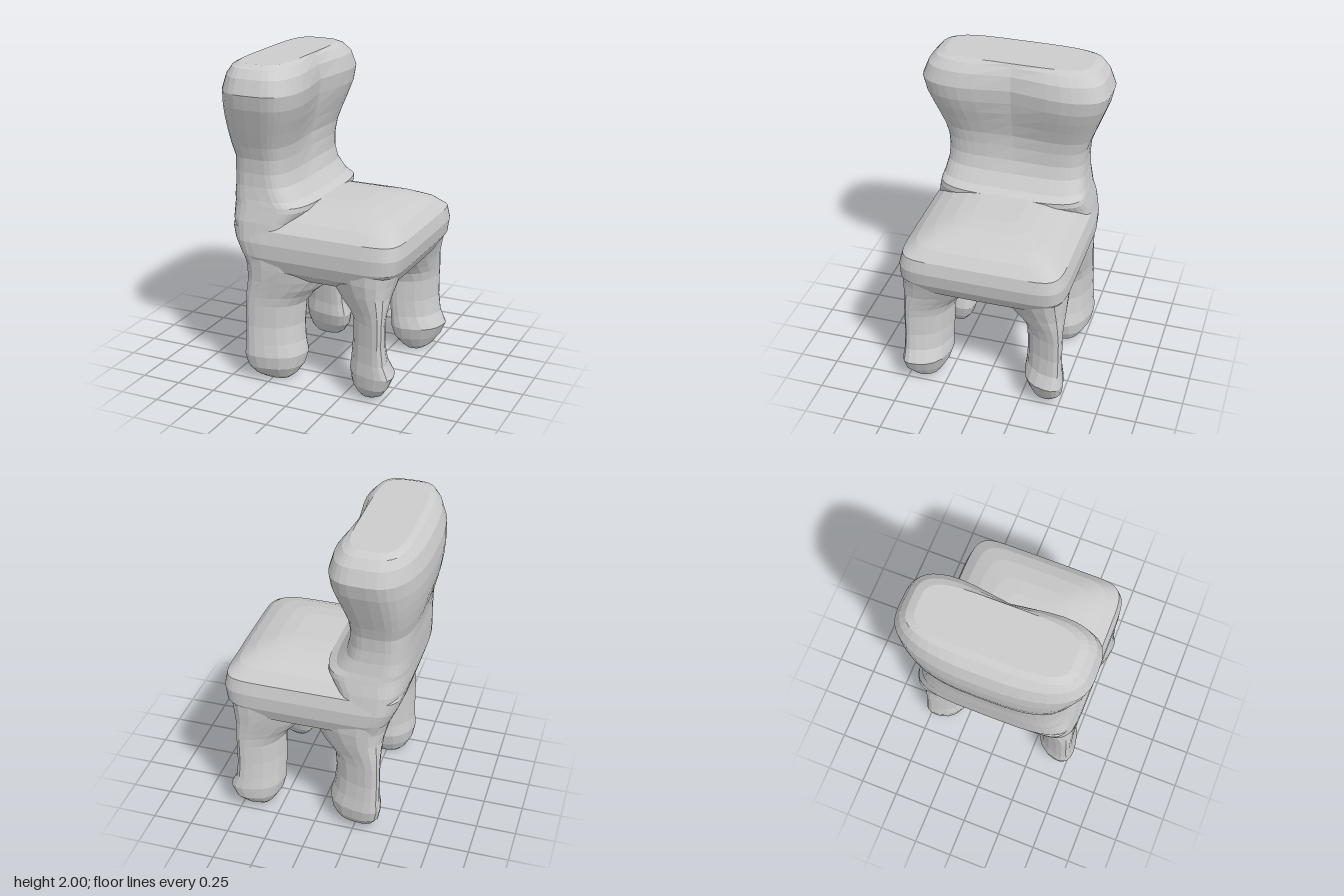
import * as THREE from 'three';

const material = new THREE.MeshStandardMaterial({ color: 0xcccccc, flatShading: true });

// Rounded power keeps the sign, so it turns circles into soft rectangles.
const soften = (v, n) => Math.sign(v) * Math.pow(Math.abs(v), 2 / n);

// Skins horizontal rings, listed bottom to top, and closes both ends.
// Ring: y, x range, z range, squareness of the +x and -x halves, diagonal skew, dent in the +x side.
function loft(name, rings, segments) {
  const positions = [];
  const index = [];
  for (const { y, x, z, n, nBack = n, skew = 0, dent = 0 } of rings) {
    const cx = (x[0] + x[1]) / 2, hx = (x[1] - x[0]) / 2;
    const cz = (z[0] + z[1]) / 2, hz = (z[1] - z[0]) / 2;
    for (let j = 0; j < segments; j++) {
      const t = (j / segments) * Math.PI * 2;
      const c = Math.cos(t - skew), power = c > 0 ? n : nBack;
      const pz = cz + hz * soften(Math.sin(t + skew), power);
      let px = cx + hx * soften(c, power);
      if (px > cx) px -= dent * Math.exp(-((pz / 0.22) ** 2));
      positions.push(px, y, pz);
    }
  }
  for (let i = 0; i < rings.length - 1; i++) {
    for (let j = 0; j < segments; j++) {
      const a = i * segments + j, b = i * segments + (j + 1) % segments;
      const c = a + segments, d = b + segments;
      index.push(a, c, b, b, c, d);
    }
  }
  const top = (rings.length - 1) * segments;
  const centre = rings.length * segments;
  for (const r of [rings[0], rings[rings.length - 1]]) {
    positions.push((r.x[0] + r.x[1]) / 2, r.y, (r.z[0] + r.z[1]) / 2);
  }
  for (let j = 0; j < segments; j++) {
    const k = (j + 1) % segments;
    index.push(centre, j, k, centre + 1, top + k, top + j);
  }
  const geometry = new THREE.BufferGeometry();
  geometry.setAttribute('position', new THREE.Float32BufferAttribute(positions, 3));
  geometry.setIndex(index);
  geometry.computeVertexNormals();
  const mesh = new THREE.Mesh(geometry, material);
  mesh.name = name;
  return mesh;
}

// Cushioned seat with a bowl-shaped underside: y, back x, front x, half depth, squareness.
function createSeat() {
  const profile = [
    [0.615, -0.04, 0.2, 0.16, 2.5], [0.635, -0.16, 0.32, 0.28, 3], [0.68, -0.32, 0.45, 0.41, 4],
    [0.75, -0.42, 0.545, 0.5, 6], [0.83, -0.46, 0.59, 0.528, 8], [0.92, -0.5, 0.605, 0.528, 8],
    [1.0, -0.52, 0.588, 0.505, 9], [1.06, -0.52, 0.53, 0.435, 8], [1.1, -0.51, 0.45, 0.35, 7],
    [1.13, -0.5, 0.34, 0.25, 6], [1.143, -0.48, 0.24, 0.15, 6],
  ];
  return loft('seat', profile.map(([y, x0, x1, h, n]) => ({ y, x: [x0, x1], z: [-h, h], n })), 48);
}

// Backrest with a narrow waist, a swollen top roll and a flare into the seat.
// y, back x, front x, half depth, squareness of the rear corners, dent in the front.
function createBackrest() {
  const profile = [
    [0.75, -0.43, -0.16, 0.5, 4, 0], [0.84, -0.465, -0.14, 0.52, 4, 0], [0.92, -0.505, -0.12, 0.522, 4, 0],
    [1.04, -0.54, -0.08, 0.5, 4, 0], [1.11, -0.545, -0.03, 0.48, 4, 0], [1.14, -0.545, -0.03, 0.472, 4, 0],
    [1.17, -0.547, -0.08, 0.463, 4, 0], [1.25, -0.55, -0.14, 0.448, 3.5, 0], [1.33, -0.55, -0.16, 0.443, 3.5, 0.01],
    [1.42, -0.56, -0.16, 0.45, 3, 0.02], [1.5, -0.58, -0.15, 0.475, 3, 0.03], [1.59, -0.6, -0.12, 0.51, 2.8, 0.04],
    [1.67, -0.612, -0.09, 0.54, 2.7, 0.05], [1.75, -0.618, -0.065, 0.57, 2.6, 0.06], [1.84, -0.612, -0.055, 0.59, 2.6, 0.06],
    [1.93, -0.58, -0.08, 0.555, 2.8, 0.05], [1.98, -0.53, -0.125, 0.51, 3.5, 0.03], [2.0, -0.49, -0.165, 0.46, 4, 0],
  ];
  return loft('backrest', profile.map(([y, x0, x1, h, nBack, dent]) =>
    ({ y, x: [x0, x1], z: [-h, h], n: 4, nBack, dent })), 40);
}

// Leg section is stretched along the seat diagonal; inner and outer are distances from the middle.
function createLeg(name, sideX, sideZ, profile) {
  const span = (side, inner, outer) => (side > 0 ? [inner, outer] : [-outer, -inner]);
  return loft(name, profile.map(([y, xi, xo, zi, zo, skew]) => ({
    y, x: span(sideX, xi, xo), z: span(sideZ, zi, zo), n: 2.4, skew: sideX * sideZ * skew,
  })), 18);
}

export function createModel() {
  const chair = new THREE.Group();
  chair.name = 'chair';
  chair.add(createSeat(), createBackrest());

  // y, inner x, outer x, inner z, outer z, skew
  const frontProfile = [
    [0, 0.34, 0.44, 0.34, 0.43, 0.1], [0.03, 0.31, 0.49, 0.31, 0.47, 0.16], [0.09, 0.27, 0.535, 0.27, 0.515, 0.22],
    [0.17, 0.25, 0.57, 0.245, 0.525, 0.22], [0.25, 0.25, 0.53, 0.25, 0.515, 0.3], [0.36, 0.25, 0.515, 0.245, 0.51, 0.35],
    [0.5, 0.25, 0.515, 0.24, 0.51, 0.35], [0.56, 0.21, 0.52, 0.21, 0.51, 0.33], [0.61, 0.15, 0.525, 0.15, 0.512, 0.3],
    [0.67, 0.1, 0.53, 0.08, 0.515, 0.25], [0.75, 0.08, 0.55, 0.04, 0.52, 0.18], [0.86, 0.08, 0.58, 0.08, 0.52, 0.1],
  ];
  const rearProfile = [
    [0, 0.16, 0.33, 0.34, 0.43, 0.1], [0.03, 0.12, 0.37, 0.31, 0.47, 0.16], [0.09, 0.08, 0.405, 0.27, 0.515, 0.2],
    [0.17, 0.06, 0.42, 0.245, 0.53, 0.22], [0.25, 0.08, 0.412, 0.25, 0.52, 0.27], [0.36, 0.09, 0.41, 0.245, 0.51, 0.3],
    [0.5, 0.08, 0.41, 0.24, 0.51, 0.3], [0.56, 0.04, 0.41, 0.21, 0.51, 0.28], [0.61, -0.02, 0.41, 0.15, 0.512, 0.25],
    [0.67, -0.06, 0.412, 0.08, 0.515, 0.2], [0.75, -0.08, 0.43, 0.04, 0.52, 0.14], [0.86, -0.08, 0.465, 0.08, 0.52, 0.1],
  ];
  for (const [side, suffix] of [[1, 'Left'], [-1, 'Right']]) {
    chair.add(createLeg('frontLeg' + suffix, 1, side, frontProfile));
    chair.add(createLeg('rearLeg' + suffix, -1, side, rearProfile));
  }
  return chair;
}
